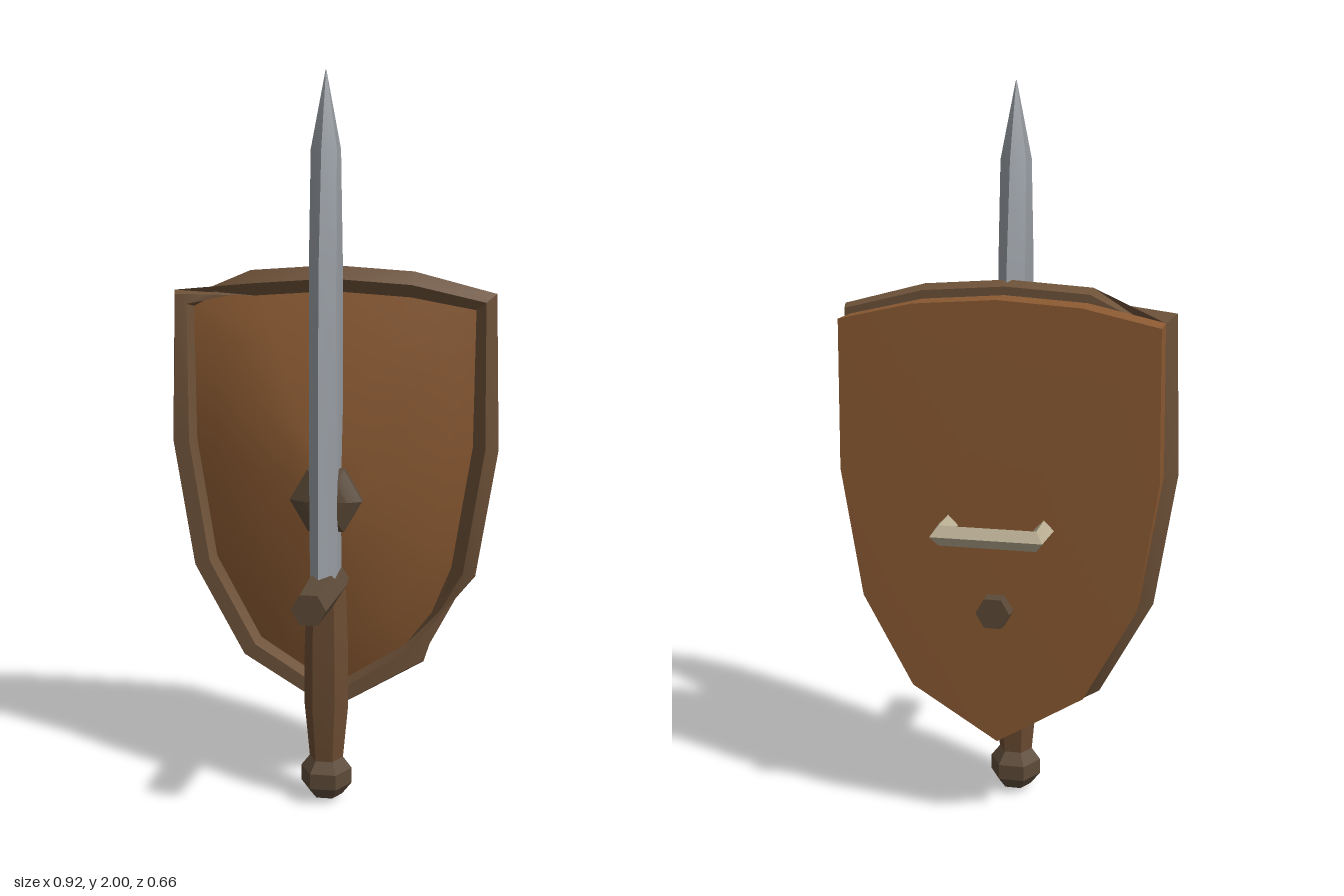
import * as THREE from 'three';
import { toCreasedNormals } from 'three/addons/utils/BufferGeometryUtils.js';

const V = (x, y, z) => new THREE.Vector3(x, y, z);

// Skin a list of equal-length rings (counter-clockwise about the travel direction)
function loft(rings, { closed = false, caps = true } = {}) {
  const n = rings[0].length, m = rings.length;
  const pos = rings.flat().flatMap((p) => [p.x, p.y, p.z]);
  const index = [];
  for (let i = 0; i < (closed ? m : m - 1); i++) {
    for (let j = 0; j < n; j++) {
      const k = (j + 1) % n, i2 = (i + 1) % m;
      const a = i * n + j, b = i * n + k, c = i2 * n + k, d = i2 * n + j;
      index.push(a, b, d, b, c, d);
    }
  }
  if (!closed && caps) {
    const e = (m - 1) * n;
    for (let j = 1; j < n - 1; j++) index.push(0, j + 1, j, e, e + j, e + j + 1);
  }
  const g = new THREE.BufferGeometry();
  g.setAttribute('position', new THREE.Float32BufferAttribute(pos, 3));
  g.setIndex(index);
  return g;
}

// Sweep a regular polygon along a planar path; phase(i) turns each section
function sweep(path, normal, r, sides, closed, phase) {
  const m = path.length;
  const dir = (a, b) => path[b].clone().sub(path[a]).normalize();
  const rings = path.map((p, i) => {
    const t = V(0, 0, 0);
    if (closed || i > 0) t.add(dir((i + m - 1) % m, i));
    if (closed || i < m - 1) t.add(dir(i, (i + 1) % m));
    const u = normal.clone().cross(t.normalize());
    return Array.from({ length: sides }, (_, j) => {
      const a = (j / sides) * Math.PI * 2 + phase(i);
      return p.clone().addScaledVector(u, r * Math.cos(a)).addScaledVector(normal, r * Math.sin(a));
    });
  });
  return loft(rings, { closed });
}

export function createModel() {
  const group = new THREE.Group();
  const add = (name, geometry, color, side = THREE.FrontSide) => {
    const mesh = new THREE.Mesh(toCreasedNormals(geometry, 0.5), new THREE.MeshStandardMaterial({ color, side }));
    mesh.name = name;
    group.add(mesh);
    return mesh;
  };
  const WOOD = 0x8b5a32, RIM = 0x6e5239, GRIP = 0x6b4c32, IRON = 0x5c4a38, STEEL = 0x989da3, STRAP = 0xb8ad92;

  // Shield outline, counter-clockwise from the bottom point
  const half = [[0.235, 0.4], [0.37, 0.65], [0.425, 1.0], [0.42, 1.4], [0.22, 1.445]];
  const outline = [[0, 0.255], ...half, [0, 1.46], ...half.map(([x, y]) => [-x, y]).reverse()];

  // Shield body: [scale about the boss, z], nearly flat back and domed front
  const cy = 0.865;
  const layers = [[0, -0.21], [1, -0.2], [1, -0.1], [0.75, -0.058], [0.5, -0.028], [0.25, -0.003], [0, 0.012]];
  add('shieldBody', loft(layers.map(([s, z]) => outline.map(([x, y]) => V(x * s, cy + (y - cy) * s, z))),
    { caps: false }), WOOD);

  // Five-sided rim, its section half-turned along the lower left run
  add('shieldRim', sweep(outline.map(([x, y]) => V(x, y, -0.067)), V(0, 0, 1), 0.037, 5, true,
    (i) => Math.PI / 2 + (i < 2 || i > 7 ? Math.PI : 0)), RIM, THREE.DoubleSide);

  // Domed boss, poles facing front and back
  const boss = add('shieldBoss', new THREE.SphereGeometry(0.105, 6, 5).rotateX(Math.PI / 2).scale(1, 1, 0.43), IRON);
  boss.position.set(0, cy, 0.04);

  // Carrying handle on the back
  add('shieldHandle', sweep([V(-0.128, cy, -0.2), V(-0.128, cy, -0.308), V(0.128, cy, -0.308), V(0.128, cy, -0.2)],
    V(0, 1, 0), 0.027, 4, false, () => 0), STRAP);

  // Blade: [y, half width in z, half thickness in x], flattened six-sided section
  const bz = 0.046;
  const blade = [[0.62, 0.135, 0.034], [1.0, 0.138, 0.036], [1.25, 0.133, 0.036], [1.52, 0.12, 0.036],
    [1.8, 0.078, 0.034], [2, 0.001, 0.001]];
  add('swordBlade', loft(blade.map(([y, w, t]) => [[1, 0], [0.48, 1], [-0.48, 1], [-1, 0], [-0.48, -1], [0.48, -1]]
    .map(([a, b]) => V(b * t, y, bz + a * w)))), STEEL);

  const hex = (f) => Array.from({ length: 6 }, (_, j) => f(Math.cos(j * Math.PI / 3), Math.sin(j * Math.PI / 3)));

  // Crossguard, thicker and slightly lower in the middle: [z, y, radius]
  add('swordGuard', loft([[-0.25, 0.64, 0.046], [0.04, 0.625, 0.056], [0.335, 0.64, 0.046]]
    .map(([z, y, r]) => hex((c, s) => V(c * r, y + s * r, z)))), IRON);

  // Grip: [y, radius]
  add('swordGrip', loft([[0.1, 0.045], [0.28, 0.062], [0.45, 0.061], [0.61, 0.055]]
    .map(([y, r]) => hex((c, s) => V(-c * r, y, 0.044 + s * r)))), GRIP);

  // Pommel
  const pommel = add('swordPommel', new THREE.SphereGeometry(0.076, 6, 5).scale(1, 0.93, 1), IRON);
  pommel.position.set(0, 0.071, 0.043);

  return group;
}
